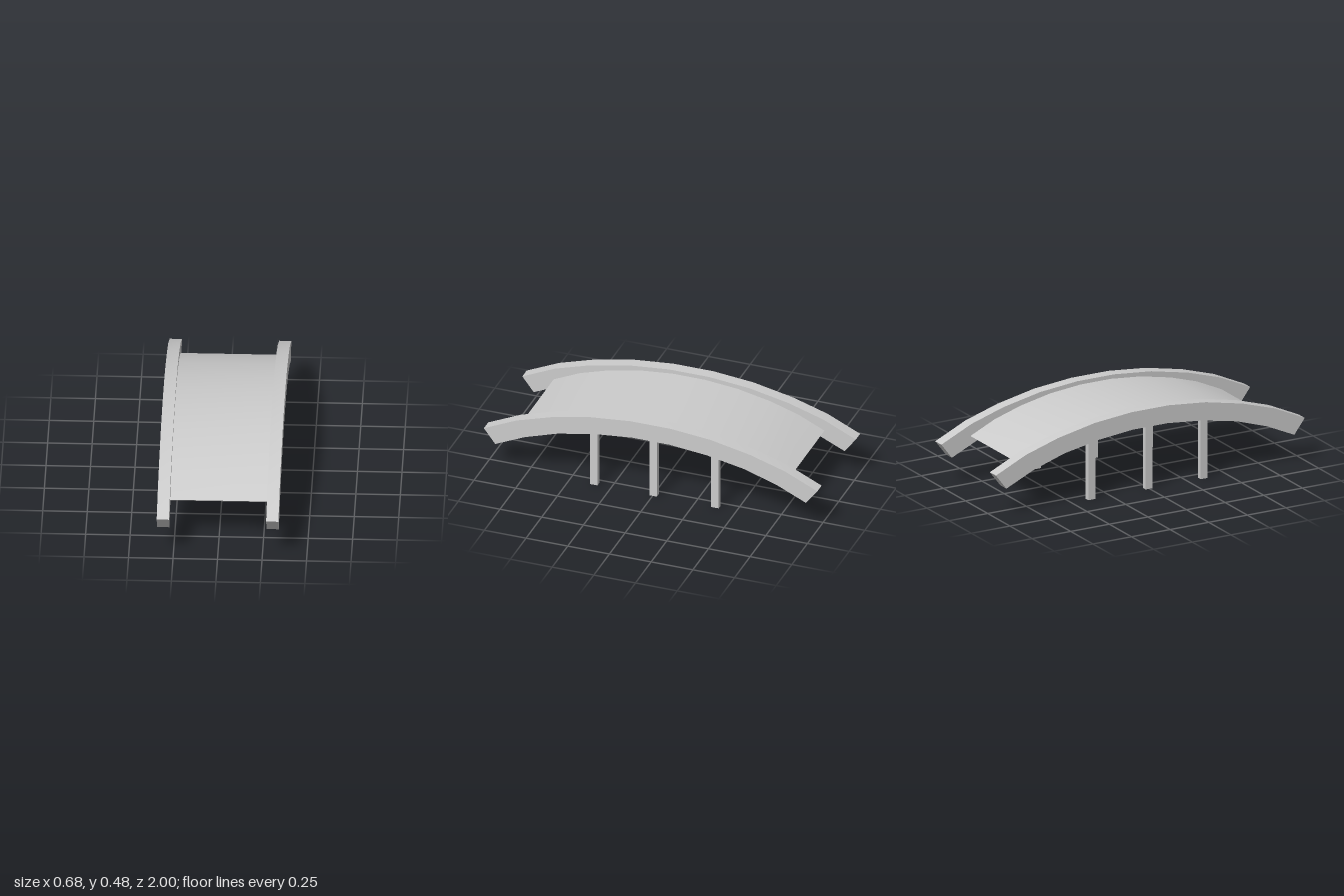
import * as THREE from 'three';
import { toCreasedNormals } from 'three/addons/utils/BufferGeometryUtils.js';

const material = new THREE.MeshStandardMaterial({ color: 0xcccccc });

// Half profiles [z, y] from the crown of the arch to its end
const railTop = [[0.12, 0.478], [0.36, 0.455], [0.598, 0.406], [0.805, 0.342], [1, 0.252]];
const railBottom = [[0.113, 0.373], [0.338, 0.35], [0.56, 0.307], [0.755, 0.244], [0.932, 0.163]];

// The deck follows the same arch at a smaller scale
const DECK_SCALE = 0.812;
const shrink = (points, crown) =>
  points.map(([z, y]) => [z * DECK_SCALE, crown - (points[0][1] - y) * DECK_SCALE]);

// Mirrors a half profile into a full line running from -z to +z
const fullLine = (half) => [...half.map(([z, y]) => [-z, y]).reverse(), ...half];

// Solid arch between two profiles, extruded across x
function arch(name, top, bottom, x0, x1) {
  const outline = [...fullLine(bottom), ...fullLine(top).reverse()];
  const shape = new THREE.Shape(outline.map(([z, y]) => new THREE.Vector2(z, y)));
  const extruded = new THREE.ExtrudeGeometry(shape, { depth: x1 - x0, bevelEnabled: false });
  extruded.rotateY(Math.PI / 2).translate(x0, 0, 0);
  const mesh = new THREE.Mesh(toCreasedNormals(extruded, Math.PI / 6), material);
  mesh.name = name;
  return mesh;
}

export function createModel() {
  const bridge = new THREE.Group();
  bridge.name = 'archedBridge';

  // Side rails
  bridge.add(arch('leftRail', railTop, railBottom, 0.273, 0.342));
  bridge.add(arch('rightRail', railTop, railBottom, -0.342, -0.273));

  // Curved walkway between the rails
  bridge.add(arch('deck', shrink(railTop, 0.455), shrink(railBottom, 0.406), -0.273, 0.273));

  // Square posts, reaching up into the rails
  for (const [side, x] of [['left', 0.295], ['right', -0.318]]) {
    [0.353, -0.003, -0.374].forEach((z, i) => {
      const height = i === 1 ? 0.4 : 0.37;
      const post = new THREE.Mesh(new THREE.BoxGeometry(0.031, height, 0.045), material);
      post.name = `${side}Post${i + 1}`;
      post.position.set(x, height / 2, z);
      bridge.add(post);
    });
  }
  return bridge;
}
